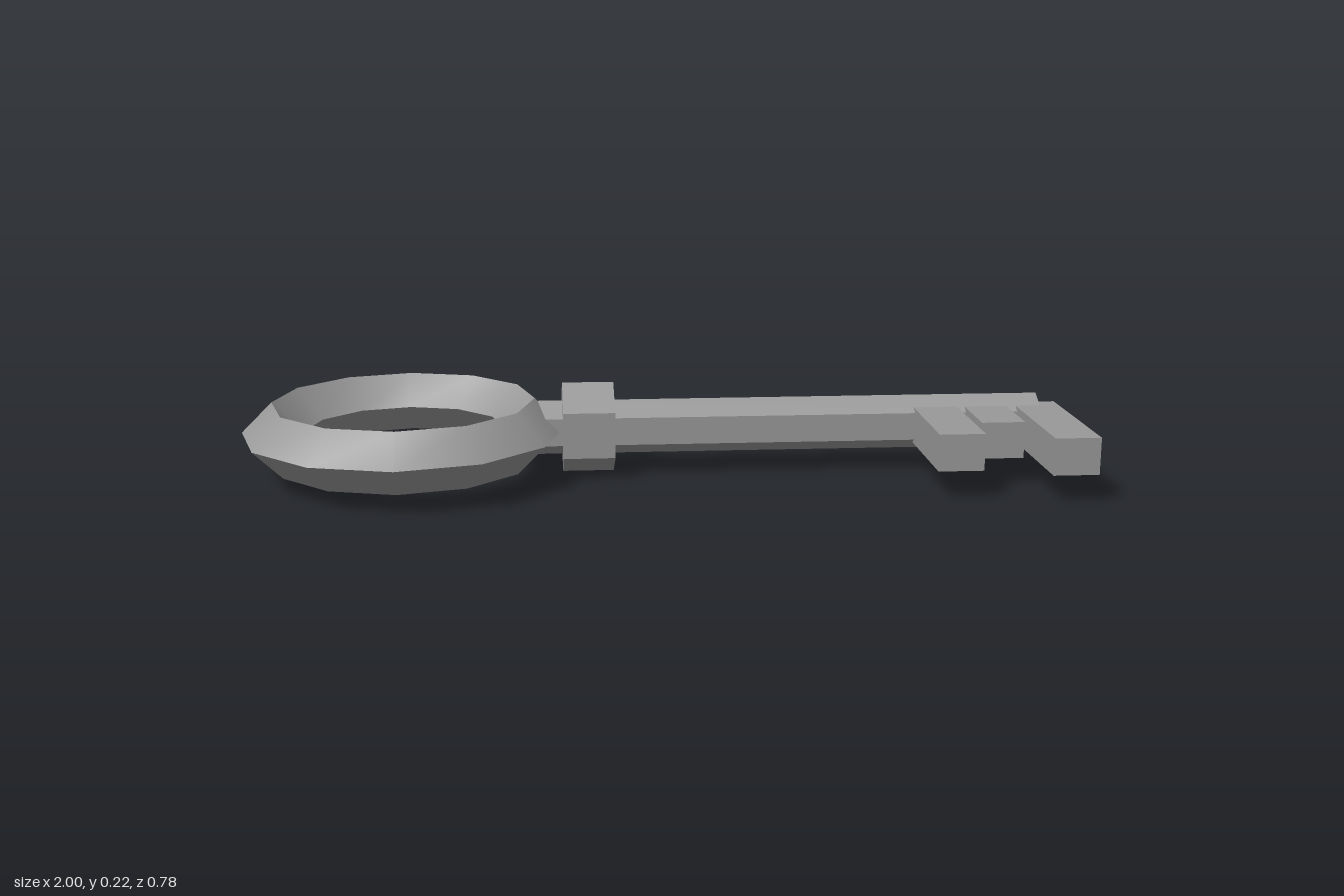
import * as THREE from 'three';
import { toCreasedNormals } from 'three/addons/utils/BufferGeometryUtils.js';

export function createModel() {
  const group = new THREE.Group();
  const metal = new THREE.MeshStandardMaterial({ color: 0x999999 });
  metal.name = 'greyMetal';
  const midY = 0.113;

  const add = (name, geometry, x, y, z) => {
    const mesh = new THREE.Mesh(geometry, metal);
    mesh.name = name;
    mesh.position.set(x, y, z);
    group.add(mesh);
  };

  // Six-sided bar along x, with an edge on top
  const hexBar = (name, radius, x0, x1) => {
    const bar = new THREE.CylinderGeometry(radius, radius, x1 - x0, 6, 1, false, Math.PI / 2);
    bar.rotateZ(Math.PI / 2);
    add(name, toCreasedNormals(bar, 0.6), (x0 + x1) / 2, midY, 0);
  };

  // Ring handle: diamond section, smooth around the loop and sharp across it
  const ring = new THREE.TorusGeometry(0.317, 0.074, 4, 12);
  ring.rotateX(-Math.PI / 2);
  add('ringHandle', toCreasedNormals(ring, 0.9), -0.609, midY, 0);

  hexBar('shaft', 0.067, -0.32, 0.953);
  hexBar('collar', 0.1115, -0.225, -0.1);

  // Teeth: [start x, end x, reach in z]
  const teeth = [
    [0.637, 0.745, 0.317],
    [0.764, 0.868, 0.21],
    [0.892, 1.0, 0.372],
  ];
  teeth.forEach(([x0, x1, reach], i) => {
    add(`tooth${i + 1}`, new THREE.BoxGeometry(x1 - x0, 0.088, reach), (x0 + x1) / 2, midY, reach / 2);
  });

  return group;
}
